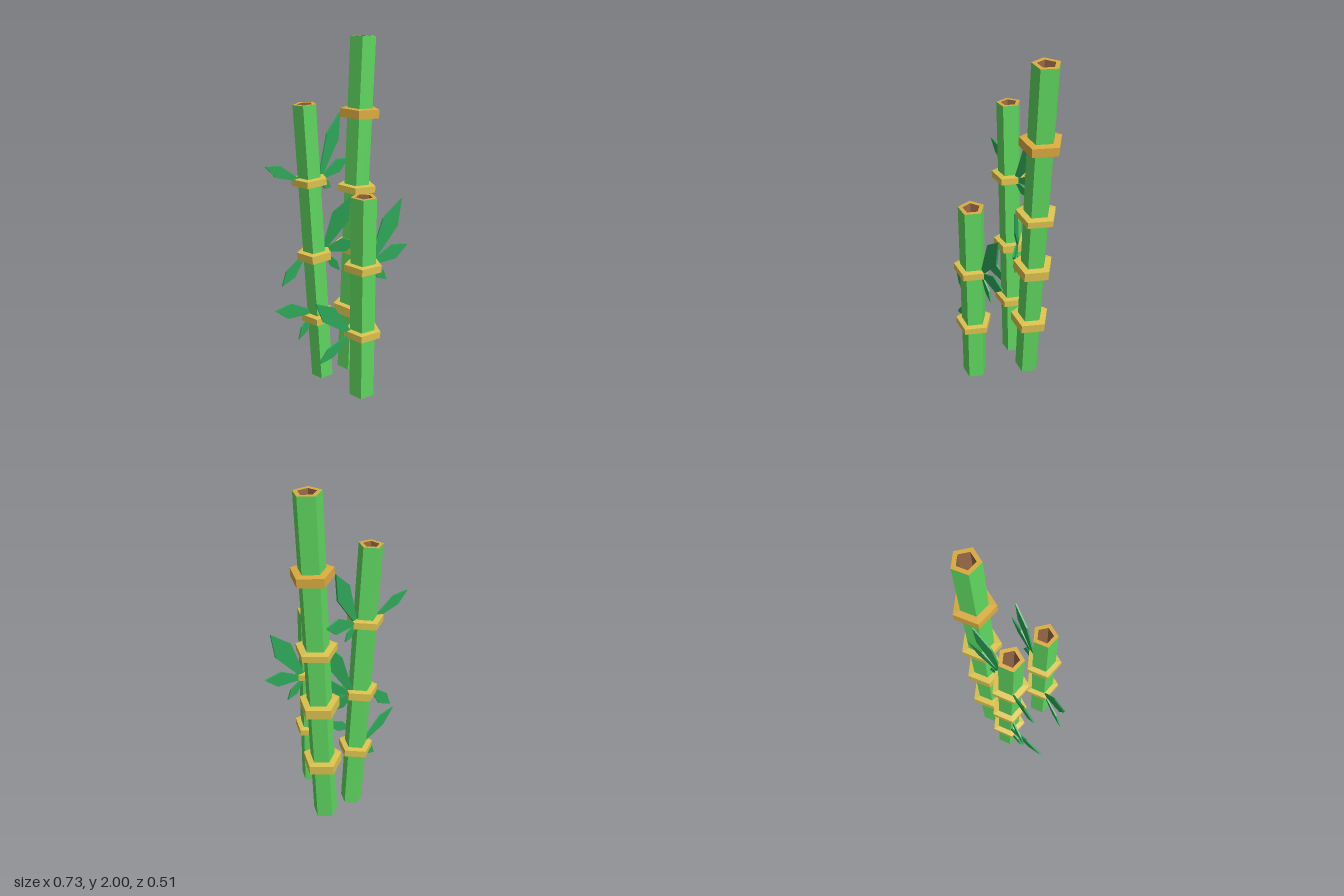
import * as THREE from 'three';

const mat = (name, color, side = THREE.FrontSide) =>
  new THREE.MeshStandardMaterial({ name, color, side, flatShading: true });

export function createModel() {
  const caneGreen = mat('caneGreen', 0x5fd65f, THREE.DoubleSide);
  const leafGreen = mat('leafGreen', 0x2ea758);
  const gold = mat('gold', 0xdcc24e);
  const amber = mat('amber', 0xdbab40);
  const brown = mat('hollowBrown', 0x9a6a48, THREE.DoubleSide);

  const model = new THREE.Group();
  model.name = 'bambooCluster';
  const add = (parent, name, geometry, material) => {
    const mesh = new THREE.Mesh(geometry, material);
    mesh.name = name;
    parent.add(mesh);
    return mesh;
  };

  const tube = (r, h) =>
    new THREE.CylinderGeometry(r, r, h, 5, 1, true, Math.PI).translate(0, h / 2, 0);

  // Five-sided collar with slightly sloping upper and lower faces
  const collar = (inner, outer, h) => new THREE.LatheGeometry([
    new THREE.Vector2(inner, -h / 2),
    new THREE.Vector2(outer, -h / 2 + 0.004),
    new THREE.Vector2(outer, h / 2 - 0.004),
    new THREE.Vector2(inner, h / 2),
  ], 5, Math.PI);

  // Hollow cane leaning from x0 at the ground to x1 at the top
  function cane({ name, x0, x1, z, h, r, ringR, rings }) {
    const g = new THREE.Group();
    g.name = name;
    g.position.set(x0, 0.002, z);
    g.rotation.z = -Math.atan((x1 - x0) / h);
    const hole = r * 0.65;
    add(g, 'caneWall', tube(r, h), caneGreen);
    add(g, 'caneHollow', tube(hole, h), brown);
    add(g, 'caneBase',
      new THREE.CircleGeometry(r, 5, Math.PI / 2).rotateX(-Math.PI / 2), caneGreen);
    add(g, 'caneRim',
      new THREE.RingGeometry(hole, r, 5, 1, Math.PI / 2).rotateX(-Math.PI / 2).translate(0, h, 0), amber);
    for (const [y, thick, material = gold] of rings) {
      add(g, 'nodeRing', collar(r * 0.95, ringR, thick), material).position.y = y;
    }
    model.add(g);
  }

  cane({ name: 'frontCane', x0: 0.05, x1: 0.05, z: 0.171, h: 1.196, r: 0.073, ringR: 0.107,
    rings: [[0.4, 0.048], [0.8, 0.048]] });
  cane({ name: 'rightCane', x0: -0.035, x1: -0.13, z: -0.138, h: 1.66, r: 0.066, ringR: 0.102,
    rings: [[0.4, 0.05], [0.795, 0.054], [1.237, 0.045]] });
  cane({ name: 'leftCane', x0: 0.155, x1: 0.237, z: -0.138, h: 1.996, r: 0.073, ringR: 0.114,
    rings: [[0.4, 0.065], [0.798, 0.065], [1.153, 0.045], [1.583, 0.056, amber]] });

  // Thin pointed leaf standing in the vertical plane through base and tip
  function leaf(from, to, w) {
    const base = new THREE.Vector3(...from);
    const dir = new THREE.Vector3(...to).sub(base);
    const len = dir.length();
    const half = [[0, 0.008], [0.3, w * 0.55], [0.64, w]];
    const outline = [
      ...half.map(([t, v]) => new THREE.Vector2(t * len, -v)),
      new THREE.Vector2(len, 0),
      ...half.reverse().map(([t, v]) => new THREE.Vector2(t * len, v)),
    ];
    const geo = new THREE.ExtrudeGeometry(new THREE.Shape(outline), { depth: 0.009, bevelEnabled: false });
    geo.translate(0, 0, -0.0045);
    const X = dir.normalize();
    const Z = new THREE.Vector3().crossVectors(X, new THREE.Vector3(0, 1, 0)).normalize();
    const Y = new THREE.Vector3().crossVectors(Z, X);
    geo.applyMatrix4(new THREE.Matrix4().makeBasis(X, Y, Z).setPosition(base));
    add(model, 'leaf', geo, leafGreen);
  }

  // Sprays: base point, then [tip, half width] for each leaf
  const sprays = [
    // front cane
    [[0.11, 0.79, 0.145], [[0.315, 1.14, 0.145], 0.058], [[0.364, 0.862, 0.145], 0.046], [[0.225, 0.675, 0.145], 0.028]],
    [[-0.015, 0.4, 0.153], [[-0.24, 0.637, 0.153], 0.05], [[-0.225, 0.262, 0.153], 0.034]],
    // right cane, upper ring
    [[-0.045, 1.235, -0.14], [[0.125, 1.585, -0.2], 0.055], [[0.19, 1.31, -0.215], 0.042], [[0.045, 1.165, -0.17], 0.026]],
    [[-0.16, 1.24, -0.153], [[-0.367, 1.345, -0.153], 0.034]],
    // right cane, middle ring
    [[-0.02, 0.8, -0.152], [[0.11, 1.13, -0.055], 0.052], [[0.138, 0.862, -0.035], 0.042], [[0.06, 0.68, -0.09], 0.026]],
    [[-0.13, 0.8, -0.161], [[-0.283, 0.63, -0.161], 0.036]],
    // right cane, lower ring
    [[-0.08, 0.42, -0.16], [[-0.366, 0.525, -0.088], 0.045], [[-0.2, 0.28, -0.13], 0.03]],
  ];
  for (const [base, ...leaves] of sprays) {
    for (const [tip, w] of leaves) leaf(base, tip, w);
  }
  return model;
}
